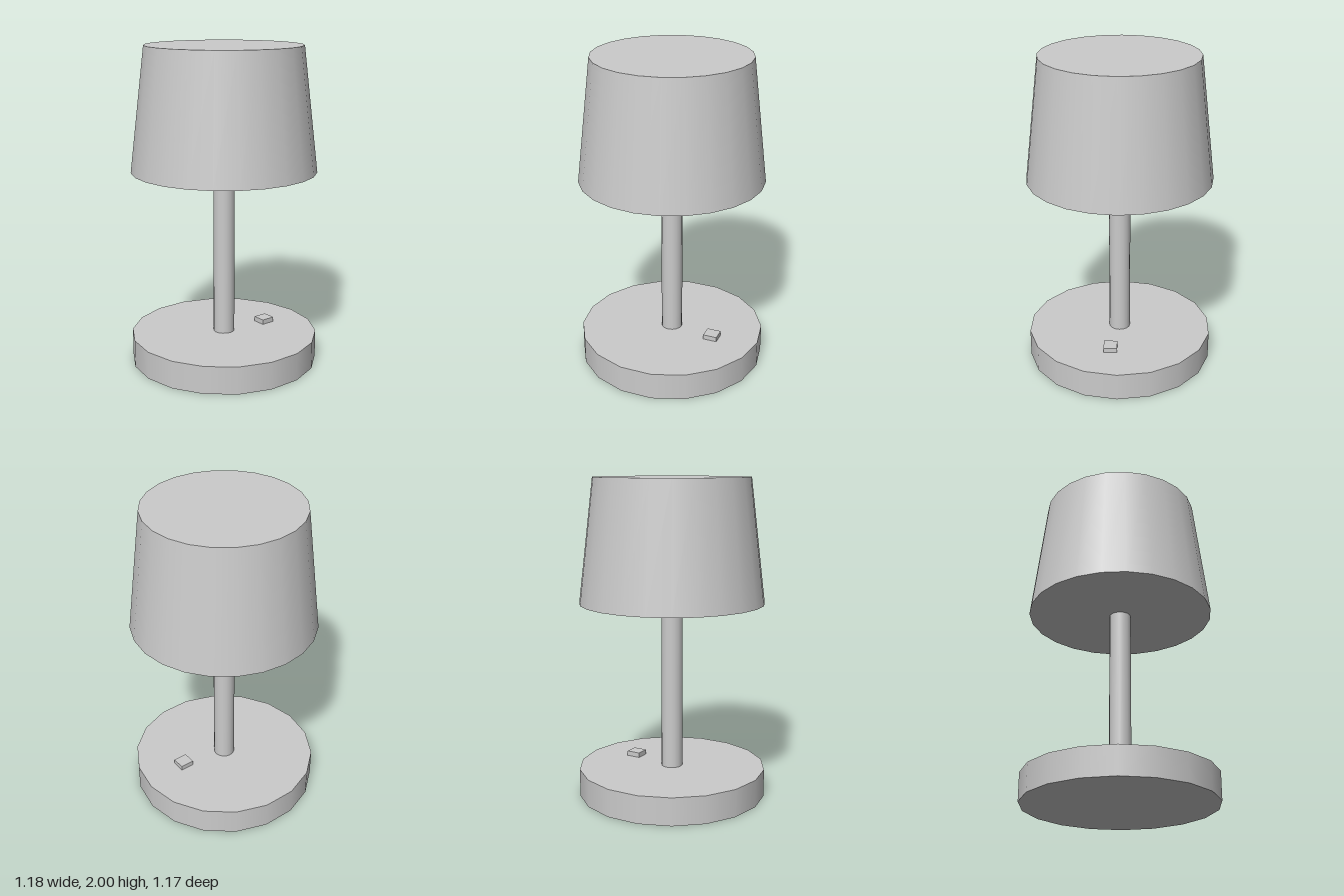
import * as THREE from 'three';

export function createModel() {
  const lamp = new THREE.Group();
  lamp.name = 'tableLamp';
  const material = new THREE.MeshStandardMaterial({ color: 0xcccccc });

  const add = (name, geometry, x, y, z) => {
    const mesh = new THREE.Mesh(geometry, material);
    mesh.name = name;
    mesh.position.set(x, y, z);
    lamp.add(mesh);
    return mesh;
  };
  // Capped round part standing between two heights
  const addRound = (name, rTop, rBottom, y0, y1, sides) =>
    add(name, new THREE.CylinderGeometry(rTop, rBottom, y1 - y0, sides), 0, (y0 + y1) / 2, 0);

  // Heavy disc base, turned so that a corner points along x
  addRound('base', 0.592, 0.592, 0, 0.175, 18).rotation.y = Math.PI / 2;

  // Slim stem running up into the shade
  addRound('stem', 0.067, 0.067, 0.17, 1.25, 16);

  // Tapered shade, closed at both ends
  addRound('shade', 0.485, 0.577, 1.23, 2, 24);

  // Small switch on top of the base
  add('switch', new THREE.BoxGeometry(0.09, 0.035, 0.085), 0.3, 0.188, 0.05);

  return lamp;
}
